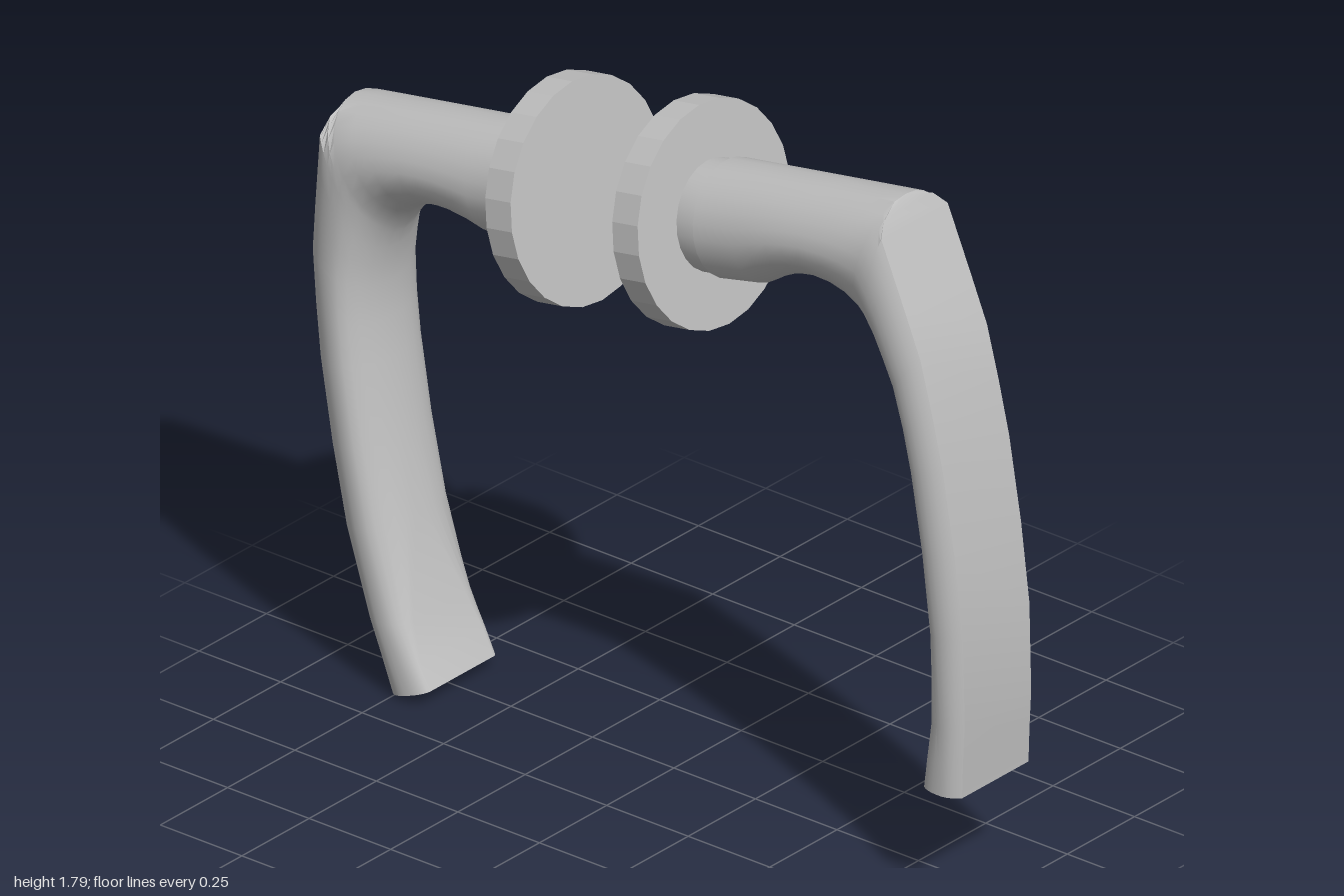
import * as THREE from 'three';
import { toCreasedNormals } from 'three/addons/utils/BufferGeometryUtils.js';

const R = 0.147; // half width of the lever

// Stations along the lever: inner edge x, y, then outer edge x, y
const stations = [
  [0.295, -0.145, 0.295, 0.146], [0.413, -0.138, 0.413, 0.146], [0.46, -0.115, 0.47, 0.146],
  [0.51, -0.098, 0.53, 0.146], [0.555, -0.09, 0.585, 0.146], [0.6, -0.088, 0.64, 0.146],
  [0.66, -0.103, 0.73, 0.147], [0.7, -0.125, 0.8, 0.147], [0.735, -0.16, 0.856, 0.147],
  [0.748, -0.175, 0.863, 0.118], [0.76, -0.19, 0.873, 0.08], [0.783, -0.23, 0.89, 0.01],
  [0.8, -0.275, 0.917, -0.1], [0.817, -0.327, 0.945, -0.22], [0.83, -0.42, 0.958, -0.36],
  [0.836, -0.522, 0.967, -0.5], [0.837, -0.72, 0.967, -0.72], [0.83, -0.927, 0.958, -0.93],
  [0.812, -1.165, 0.925, -1.16], [0.79, -1.26, 0.905, -1.25], [0.77, -1.33, 0.885, -1.348],
];

// Half width of the section: round inner side, softened outer edge,
// limited by the round neck above its axis
function halfWidth(a, t, y, inY) {
  const flat = 0.8 * THREE.MathUtils.smoothstep(-inY, 0.8, 1.3);
  const inner = a < Math.PI / 2 ? flat + (1 - flat) * Math.sin(a) : 1;
  const outer = 1 - 0.16 * Math.max(0, (t - 0.6) / 0.4) ** 2;
  const neck = y > 0 ? Math.sqrt(Math.max(0, 1 - (y / R) ** 2)) : 1;
  return R * Math.min(inner, outer, neck);
}

function leverGeometry() {
  const steps = 12, n = 2 * (steps + 1);
  const pos = [], idx = [];
  for (const [px, py, qx, qy] of stations) {
    const side = [];
    for (let i = 0; i <= steps; i++) {
      const a = (i / steps) * Math.PI;
      const t = (1 - Math.cos(a)) / 2;
      const x = px + (qx - px) * t, y = py + (qy - py) * t;
      side.push([x, y, halfWidth(a, t, y, py)]);
    }
    for (const p of side) pos.push(...p);
    for (const [x, y, z] of side.reverse()) pos.push(x, y, -z);
  }
  const last = stations.length - 1;
  for (let s = 0; s < last; s++) {
    for (let j = 0; j < n; j++) {
      const k = (j + 1) % n;
      const a = s * n + j, b = s * n + k, c = a + n, d = b + n;
      idx.push(a, c, d, a, d, b);
    }
  }
  // End caps, bridging the two halves of the ring
  for (let i = 0; i < steps; i++) {
    const a = i, b = i + 1, c = n - 2 - i, d = n - 1 - i, e = last * n;
    idx.push(a, b, c, a, c, d);
    idx.push(e + a, e + c, e + b, e + a, e + d, e + c);
  }
  const g = new THREE.BufferGeometry();
  g.setAttribute('position', new THREE.Float32BufferAttribute(pos, 3));
  g.setIndex(idx);
  return toCreasedNormals(g, 0.6);
}

// Disc lying along x between x0 and x1
function discGeometry(r, x0, x1, sides, crease) {
  const g = new THREE.CylinderGeometry(r, r, x1 - x0, sides);
  g.rotateZ(-Math.PI / 2);
  g.translate((x0 + x1) / 2, 0, 0);
  return toCreasedNormals(g, crease);
}

export function createModel() {
  const metal = new THREE.MeshStandardMaterial({ color: 0xc0c0c0 });
  metal.name = 'satin metal';

  const parts = {
    rosePlate: discGeometry(0.28, 0.158, 0.237, 24, 0.1),
    collar: discGeometry(0.138, 0.23, 0.31, 24, 0.6),
    lever: leverGeometry(),
  };

  // Two opposed handles on one tilted spindle axis
  const pair = new THREE.Group();
  pair.name = 'handlePair';
  pair.position.set(-0.11, 1.4775, 0);
  pair.rotation.z = THREE.MathUtils.degToRad(9.5);
  for (const [name, turn] of [['leftHandle', 0], ['rightHandle', Math.PI]]) {
    const handle = new THREE.Group();
    handle.name = name;
    handle.rotation.y = turn;
    for (const [part, geometry] of Object.entries(parts)) {
      const mesh = new THREE.Mesh(geometry, metal);
      mesh.name = part;
      handle.add(mesh);
    }
    pair.add(handle);
  }

  const model = new THREE.Group();
  model.name = 'doorHandles';
  model.add(pair);
  return model;
}
